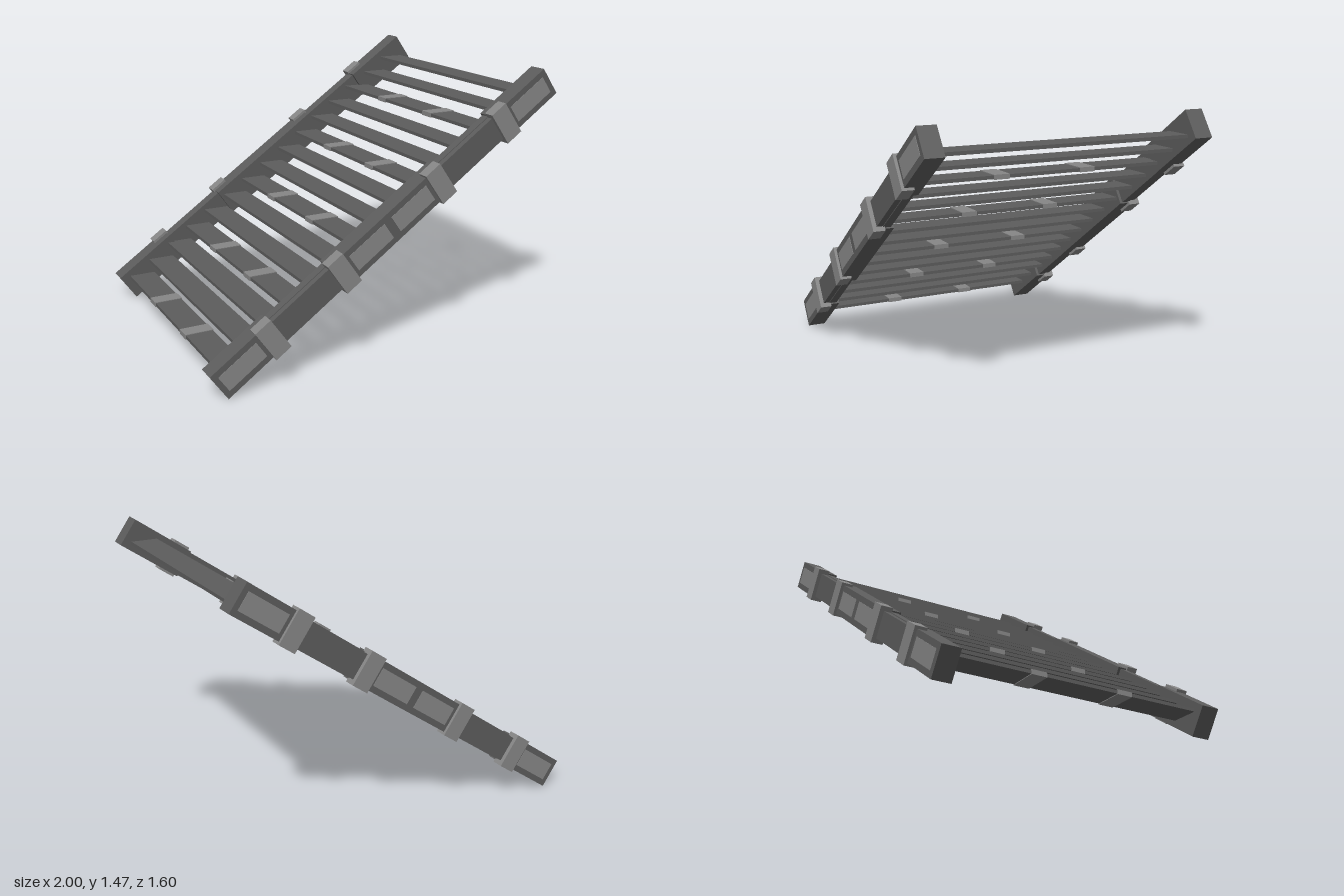
import * as THREE from 'three';

export function createModel() {
  const darkMetal = new THREE.MeshStandardMaterial({ color: 0x5c5c5c });
  darkMetal.name = 'dark metal';
  const lightMetal = new THREE.MeshStandardMaterial({ color: 0x868686 });
  lightMetal.name = 'light metal';

  const model = new THREE.Group();
  model.name = 'staircase';

  // Box placed by its centre
  function box(parent, name, material, size, position) {
    const mesh = new THREE.Mesh(new THREE.BoxGeometry(...size), material);
    mesh.name = name;
    mesh.position.set(...position);
    parent.add(mesh);
    return mesh;
  }

  // Sloping side rails, built along local x and then tilted
  const slope = Math.atan2(1.335, 1.91);
  for (const side of [1, -1]) {
    const rail = new THREE.Group();
    rail.name = side > 0 ? 'frontRail' : 'backRail';
    rail.position.y = 0.735;
    rail.rotation.z = slope;
    model.add(rail);

    // Thick sections: middle and both ends
    box(rail, 'railMiddle', darkMetal, [0.76, 0.165, 0.102], [0, 0, side * 0.734]);
    for (const end of [1, -1]) {
      box(rail, 'railEnd', darkMetal, [0.392, 0.165, 0.102], [end * 0.969, 0, side * 0.734]);
      // Slimmer linking section, stepped in depth
      box(rail, 'railLinkInner', darkMetal, [0.44, 0.15, 0.046], [end * 0.58, 0, side * 0.722]);
      box(rail, 'railLinkOuter', darkMetal, [0.44, 0.142, 0.034], [end * 0.58, 0, side * 0.761]);
      // Clamping bands
      for (const s of [0.34, 0.82]) {
        box(rail, 'railBand', lightMetal, [0.1, 0.194, 0.065], [end * s, 0, side * 0.768]);
      }
      // Thin outer panels
      for (const s of [0.147, 1.013]) {
        box(rail, 'railPanel', lightMetal, [0.245, 0.1, 0.004], [end * s, 0, side * 0.785]);
      }
    }
  }

  // Level treads, with a pair of clips on every third one
  const steps = 15;
  for (let i = 0; i < steps; i++) {
    const t = i - (steps - 1) / 2;
    const x = t * 0.1235;
    const y = 0.735 + t * 0.0862;
    box(model, 'tread', darkMetal, [0.15, 0.018, 1.4], [x, y, 0]);
    if (i % 3 === 0) {
      for (const side of [1, -1]) {
        box(model, 'treadClip', lightMetal, [0.158, 0.025, 0.085], [x, y, side * 0.245]);
      }
    }
  }

  return model;
}
